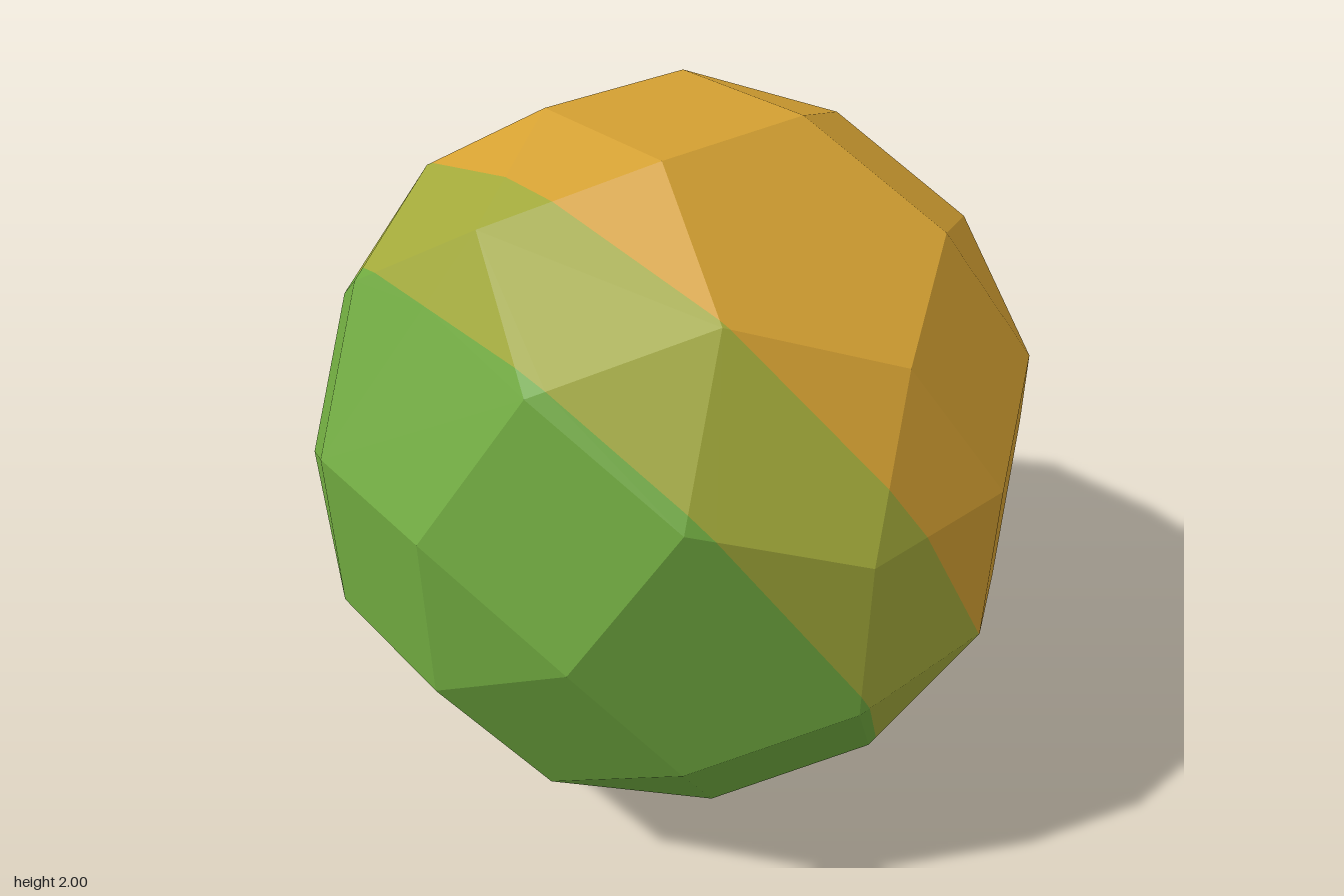
import * as THREE from 'three';
import { ConvexGeometry } from 'three/addons/geometries/ConvexGeometry.js';

// Corners of a rhombicosidodecahedron: cyclic shifts and all sign flips of three seeds.
function corners() {
  const p = (1 + Math.sqrt(5)) / 2;
  const k = 1 / p ** 3;
  const seeds = [[1, 1, p ** 3], [p * p, 2 * p, p], [2 + p, p * p, 0]];
  const found = new Map();
  for (const s of seeds) {
    for (let shift = 0; shift < 3; shift++) {
      for (let m = 0; m < 8; m++) {
        const v = [0, 1, 2].map(i => s[(i + shift) % 3] * k * (m >> i & 1 ? -1 : 1));
        found.set(v.map(n => Math.round(n * 1000)).join(), new THREE.Vector3(...v));
      }
    }
  }
  return [...found.values()];
}

// Height of a point above the slanted dividing planes.
const height = v => v.y - 1.66 * v.z;

// Keep the part of a polygon where sign * (height - level) >= 0.
function clip(poly, level, sign) {
  const out = [];
  poly.forEach((a, i) => {
    const b = poly[(i + 1) % poly.length];
    const da = sign * (height(a) - level);
    const db = sign * (height(b) - level);
    if (da >= 0) out.push(a);
    if ((da > 0 && db < 0) || (da < 0 && db > 0)) out.push(a.clone().lerp(b, da / (da - db)));
  });
  return out;
}

// Surface of the solid between two slanted planes.
function zone(triangles, low, high) {
  const points = [];
  for (const t of triangles) {
    const poly = clip(clip(t, low, 1), high, -1);
    for (let i = 1; i + 1 < poly.length; i++) points.push(poly[0], poly[i], poly[i + 1]);
  }
  const g = new THREE.BufferGeometry().setFromPoints(points);
  g.computeVertexNormals();
  return g;
}

export function createModel() {
  const group = new THREE.Group();
  group.name = 'facetedBall';

  const pos = new ConvexGeometry(corners()).getAttribute('position');
  const triangles = [];
  for (let i = 0; i < pos.count; i += 3) {
    triangles.push([0, 1, 2].map(j => new THREE.Vector3().fromBufferAttribute(pos, i + j)));
  }

  // Three colour zones, from front underside to back top
  const zones = [
    ['greenFront', 'green', 0x6fa83f, -9, -0.565],
    ['oliveBand', 'olive', 0xa1a83a, -0.565, 0.15],
    ['orangeBack', 'orange', 0xd4a032, 0.15, 9],
  ];
  for (const [name, colourName, color, low, high] of zones) {
    const material = new THREE.MeshStandardMaterial({ color });
    material.name = colourName;
    const mesh = new THREE.Mesh(zone(triangles, low, high), material);
    mesh.name = name;
    mesh.position.y = 1;
    group.add(mesh);
  }
  return group;
}
